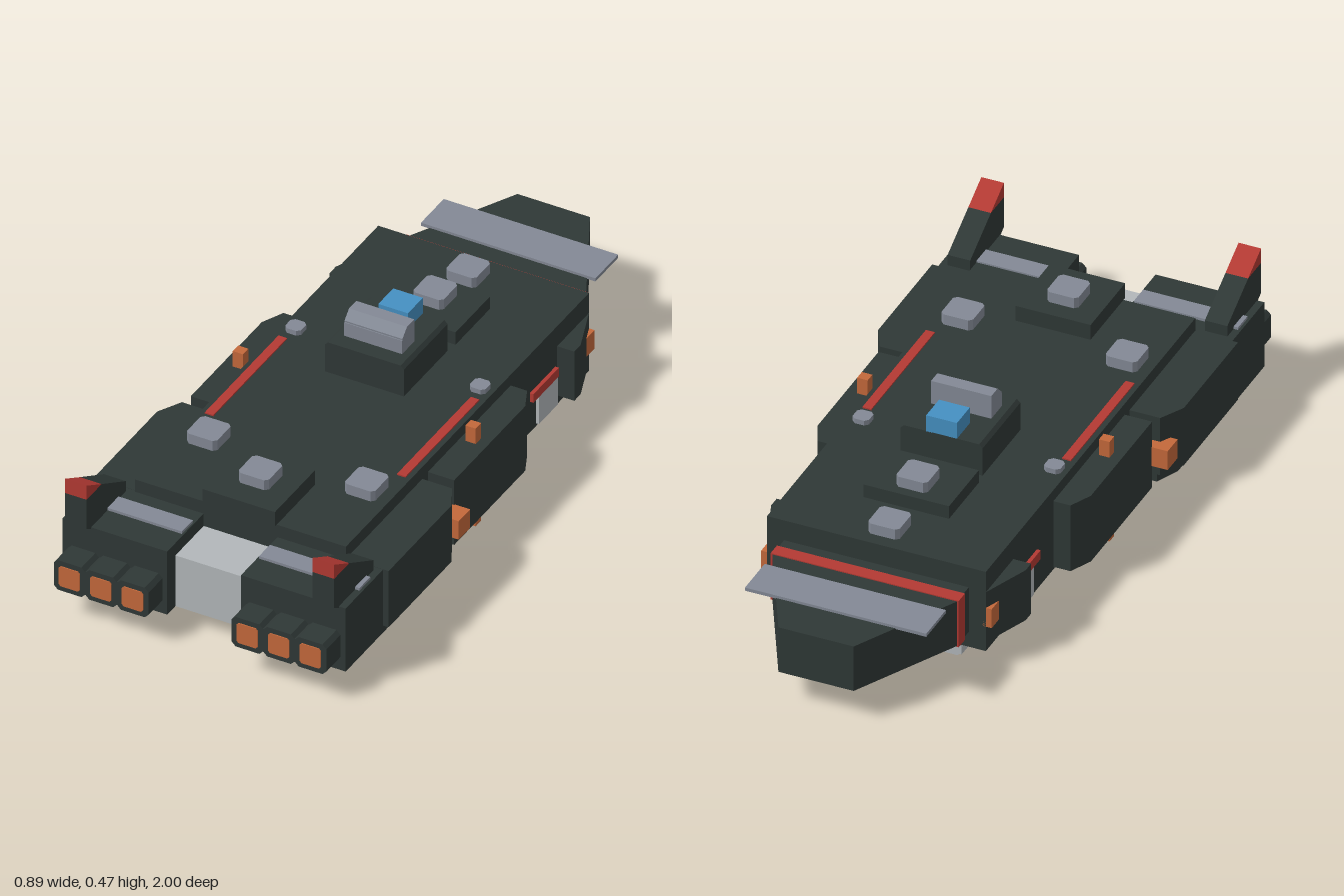
import * as THREE from 'three';

const mat = (name, color) => {
  const m = new THREE.MeshStandardMaterial({ color });
  m.name = name;
  return m;
};

export function createModel() {
  const dark = mat('dark hull', 0x2f3836);
  const grey = mat('slate grey', 0x838995);
  const light = mat('light grey', 0xb2b7ba);
  const red = mat('red trim', 0xb33a33);
  const orange = mat('orange', 0xc4693b);
  const blue = mat('blue', 0x4590c2);

  const root = new THREE.Group();
  root.name = 'spaceship';

  const add = (name, geometry, material) => {
    const mesh = new THREE.Mesh(geometry, material);
    mesh.name = name;
    root.add(mesh);
    return mesh;
  };

  // Box given by its limits on each axis
  const box = (name, m, x0, x1, y0, y1, z0, z1) => {
    const g = new THREE.BoxGeometry(Math.abs(x1 - x0), y1 - y0, z1 - z0);
    g.translate((x0 + x1) / 2, (y0 + y1) / 2, (z0 + z1) / 2);
    return add(name, g, m);
  };
  const shapeOf = (pts) => new THREE.Shape(pts.map(([a, b]) => new THREE.Vector2(a, b)));
  const extrude = (pts, depth) =>
    new THREE.ExtrudeGeometry(shapeOf(pts), { depth, bevelEnabled: false });

  // Plan outline [x, z] raised from y0 to y1
  const plan = (name, m, pts, y0, y1) =>
    add(name, extrude(pts.map(([x, z]) => [x, -z]), y1 - y0).rotateX(-Math.PI / 2).translate(0, y0, 0), m);
  // Front outline [x, y] running from z0 to z1
  const front = (name, m, pts, z0, z1) =>
    add(name, extrude(pts, z1 - z0).translate(0, 0, z0), m);
  // Side outline [z, y] running from x0 to x1
  const side = (name, m, pts, x0, x1) =>
    add(name, extrude(pts.map(([z, y]) => [-z, y]), x1 - x0).rotateY(Math.PI / 2).translate(x0, 0, 0), m);
  // Square with cut corners, around (x, y)
  const cutSquare = (x, y, r, c) => [
    [r, r - c], [r - c, r], [c - r, r], [-r, r - c], [-r, c - r], [c - r, -r], [r - c, -r], [r, c - r],
  ].map(([a, b]) => [x + a, y + b]);

  // Main hull, keel and stern block
  box('mainHull', dark, -0.32, 0.32, 0.052, 0.305, -0.615, 0.72);
  front('keel', light, [[-0.235, 0.012], [0.235, 0.012], [0.24, 0.018], [0.247, 0.018], [0.247, 0.04],
    [0.24, 0.052], [-0.24, 0.052], [-0.247, 0.04], [-0.247, 0.018], [-0.24, 0.018]], -0.61, 0.72);
  box('sternBlock', light, -0.112, 0.112, 0.06, 0.225, 0.71, 0.875);

  // Tapered nose with red band and cross bar
  plan('nose', dark, [[-0.27, -0.61], [0.27, -0.61], [0.27, -0.69], [0.11, -1], [-0.11, -1], [-0.27, -0.69]], 0.1, 0.242);
  box('noseBand', red, -0.275, 0.275, 0.097, 0.245, -0.69, -0.65);
  box('noseBar', grey, -0.265, 0.265, 0.24, 0.25, -0.875, -0.75);

  // Deck plinths, pads and tower
  const pad = (x, z, y, h = 0.032, r = 0.046) =>
    plan('deckPad', grey, cutSquare(x, z, r, 0.01), y, y + h);
  box('frontPlinth', dark, -0.125, 0.125, 0.305, 0.345, -0.425, -0.235);
  box('rearPlinth', dark, -0.11, 0.11, 0.305, 0.352, 0.51, 0.73);
  front('tower', dark, [[-0.12, 0.3], [0.12, 0.3], [0.12, 0.392], [0.11, 0.402], [-0.11, 0.402], [-0.12, 0.392]], -0.2, 0.04);
  pad(0, -0.53, 0.305);
  pad(0, -0.35, 0.345);
  pad(0, 0.61, 0.352);
  box('blueSensor', blue, -0.045, 0.045, 0.4, 0.452, -0.2, -0.118);
  side('bridge', grey, [[-0.015, 0.4], [-0.015, 0.45], [-0.015, 0.45], [-0.01, 0.45], [-0.035, 0.474],
    [-0.075, 0.474], [-0.075, 0.4]].filter((_, i) => i !== 2 && i !== 1), -0.088, 0.088);
  box('bridgeFoot', grey, -0.088, 0.088, 0.4, 0.445, -0.02, -0.008);

  for (const s of [1, -1]) {
    const mir = (pts) => pts.map(([x, z]) => [s * x, z]);
    const sbox = (name, m, x0, x1, ...rest) => box(name, m, s * x0, s * x1, ...rest);

    // Deck details
    pad(s * 0.24, 0.46, 0.305);
    pad(s * 0.28, -0.09, 0.305, 0.015, 0.024);
    sbox('deckStripe', red, 0.279, 0.305, 0.303, 0.309, -0.04, 0.365);

    // Side bulges, with a narrower underside at the rear
    plan('frontBulge', dark, mir([[0.31, -0.615], [0.32, -0.615], [0.372, -0.475], [0.372, -0.44], [0.31, -0.44]]), 0.08, 0.24);
    plan('middleBulge', dark, mir([[0.31, -0.185], [0.37, -0.185], [0.4, -0.12], [0.4, 0.27], [0.31, 0.27]]), 0.06, 0.27);
    plan('rearBulge', dark, mir([[0.31, 0.3], [0.41, 0.3], [0.447, 0.37], [0.447, 0.715], [0.31, 0.715]]), 0.083, 0.266);
    plan('rearBulgeUnderside', dark, mir([[0.31, 0.3], [0.4, 0.3], [0.43, 0.37], [0.43, 0.715], [0.31, 0.715]]), 0.06, 0.083);

    // Side hatch with red sill
    plan('sideHatch', light, mir([[0.31, -0.43], [0.328, -0.43], [0.328, -0.325], [0.31, -0.325]]), 0.06, 0.16);
    sbox('hatchSill', red, 0.31, 0.331, 0.152, 0.18, -0.43, -0.29);

    // Orange thrusters
    sbox('frontThruster', orange, 0.31, 0.337, 0.13, 0.19, -0.615, -0.535);
    sbox('rearThruster', orange, 0.38, 0.447, 0.13, 0.19, 0.267, 0.33);
    sbox('upperThruster', orange, 0.338, 0.369, 0.27, 0.32, 0.066, 0.096);
    sbox('lowerThruster', orange, 0.338, 0.369, 0.002, 0.06, 0.066, 0.096);
    sbox('lowerThrusterMount', grey, 0.325, 0.378, 0.051, 0.061, 0.05, 0.112);

    // Engine block, cap and nozzles
    sbox('engineBlock', dark, 0.112, 0.43, 0.06, 0.265, 0.715, 0.92);
    sbox('engineCap', grey, 0.117, 0.422, 0.262, 0.273, 0.77, 0.83);
    sbox('nozzleHousing', dark, 0.14, 0.4, 0.1, 0.175, 0.9, 0.996);
    for (const x of [0.174, 0.27, 0.366]) {
      front('nozzleRim', dark, cutSquare(s * x, 0.138, 0.048, 0.012), 0.9, 0.997);
      front('nozzle', orange, cutSquare(s * x, 0.138, 0.032, 0.006), 0.992, 1);
    }

    // Tail fin with red tip
    const x0 = s > 0 ? 0.343 : -0.409;
    side('tailFin', dark, [[0.73, 0.26], [0.92, 0.26], [0.945, 0.275], [0.945, 0.37], [0.862, 0.37], [0.73, 0.298]], x0, x0 + 0.066);
    side('tailFinTip', red, [[0.945, 0.37], [0.945, 0.416], [0.862, 0.37]], x0, x0 + 0.066);
  }
  return root;
}
